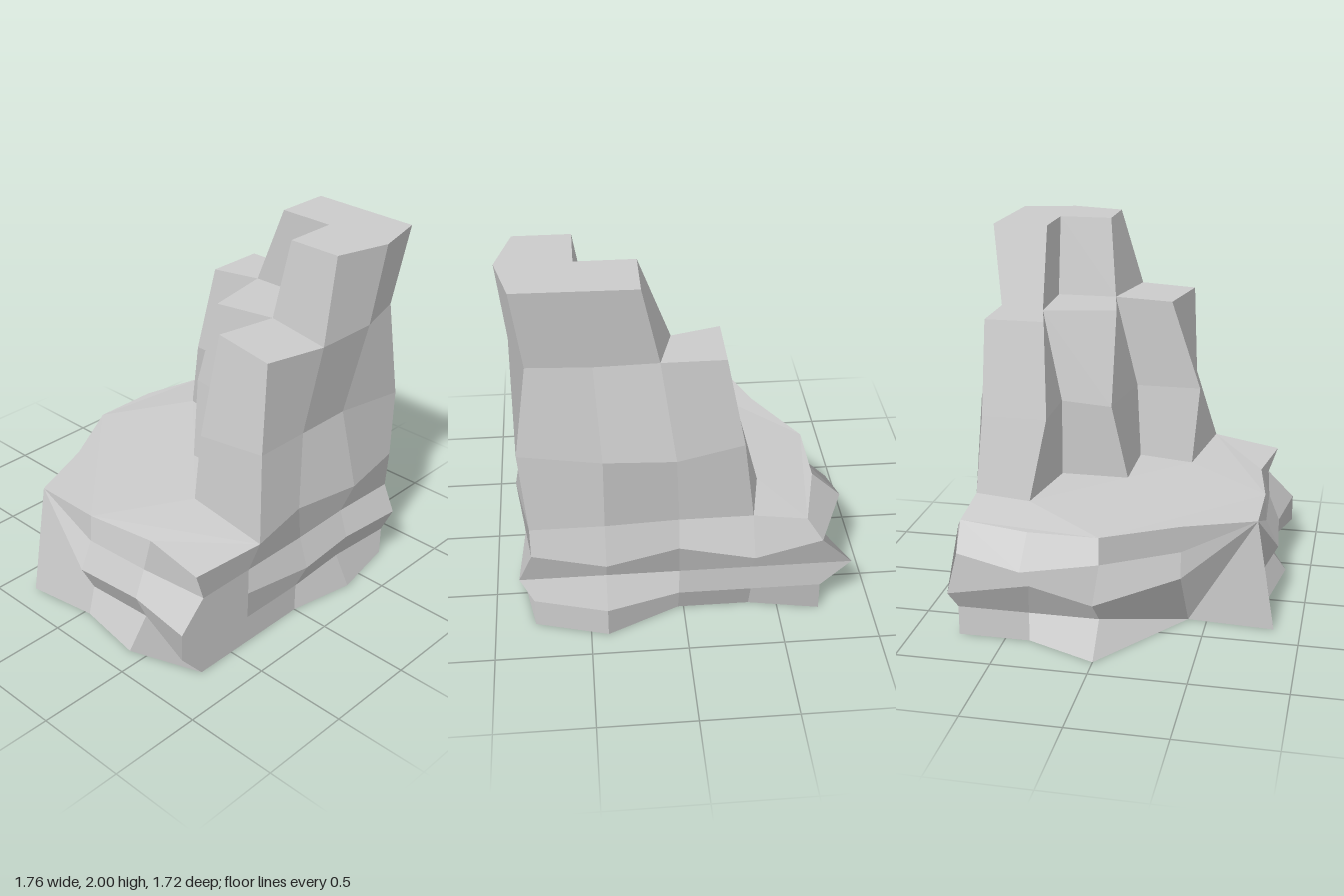
import * as THREE from 'three';

// A ring is a loop of [x, z] corners at height y: left side, front, right side, back.
const ring = (y, pts) => pts.map(([x, z]) => new THREE.Vector3(x, y, z));

// Four-cornered wall faces between successive rings of equal length.
function walls(rings) {
  const faces = [];
  for (let k = 0; k + 1 < rings.length; k++) {
    const lo = rings[k], hi = rings[k + 1], n = lo.length;
    for (let i = 0; i < n; i++) {
      const j = (i + 1) % n;
      faces.push([lo[i], lo[j], hi[j], hi[i]]);
    }
  }
  return faces;
}

// Fills a ring with triangles facing up or down.
function cap(pts, up = true) {
  const flat = pts.map((p) => new THREE.Vector2(p.x, -p.z));
  return THREE.ShapeUtils.triangulateShape(flat, []).map(([a, b, c]) => {
    const ab = flat[b].clone().sub(flat[a]), ac = flat[c].clone().sub(flat[a]);
    const facesUp = ab.cross(ac) > 0;
    return facesUp === up ? [pts[a], pts[b], pts[c]] : [pts[a], pts[c], pts[b]];
  });
}

// Turns faces of three or four corners into a geometry with one normal per face.
function facetGeometry(faces) {
  const points = [], normals = [];
  for (const [a, b, c, d = a] of faces) {
    const normal = c.clone().sub(a).cross(d.clone().sub(b)).normalize();
    const corners = d === a ? [a, b, c] : [a, b, d, b, c, d];
    for (const p of corners) {
      points.push(p);
      normals.push(normal.x, normal.y, normal.z);
    }
  }
  const geometry = new THREE.BufferGeometry().setFromPoints(points);
  return geometry.setAttribute('normal', new THREE.Float32BufferAttribute(normals, 3));
}

export function createModel() {
  const group = new THREE.Group();
  const material = new THREE.MeshStandardMaterial({ color: 0xcccccc });
  const add = (name, faces) => {
    const mesh = new THREE.Mesh(facetGeometry(faces), material);
    mesh.name = name;
    group.add(mesh);
  };

  // Stepped column outlines, from its foot to the ledge
  const foot = ring(0.65, [[-0.35, -0.75], [-0.41, -0.44], [0.03, -0.37], [0.03, 0], [0.41, 0], [0.34, 0.31],
    [0.86, 0.38], [0.79, 0], [0.86, -0.37], [0.79, -0.77], [0.41, -0.77], [0.03, -0.75]]);
  const waist = ring(1.07, [[-0.3, -0.72], [-0.3, -0.37], [0.04, -0.37], [-0.02, -0.08], [0.41, -0.02], [0.41, 0.34],
    [0.76, 0.27], [0.76, -0.04], [0.76, -0.36], [0.83, -0.72], [0.41, -0.81], [0.05, -0.83]]);
  const ledge = ring(1.57, [[-0.2, -0.72], [-0.2, -0.4], [0.05, -0.47], [0.12, -0.08], [0.44, -0.15], [0.38, 0.18],
    [0.76, 0.25], [0.84, -0.07], [0.84, -0.43], [0.76, -0.71], [0.44, -0.73], [0.12, -0.72]]);

  // Front fin and the hollow beside it, each a single point shared by several strata
  const finTop = new THREE.Vector3(-0.35, 0.61, 0.76);
  const hollow = new THREE.Vector3(-0.32, 0, 0.4);

  // Base strata, alternately pushed in and out
  const ground = ring(0, [[-0.72, -0.75], [-0.72, -0.37], [-0.88, 0], [-0.32, 0.4], [-0.35, 0.86],
    [0.03, 0.8], [0.41, 0.86], [0.79, 0.72], [0.79, 0.38], [0.79, 0], [0.86, -0.37], [0.79, -0.75],
    [0.41, -0.86], [0.03, -0.68], [-0.35, -0.68]]);
  const groove = ring(0.16, [[-0.72, -0.75], [-0.72, -0.37], [-0.72, 0], [-0.32, 0.4], [-0.35, 0.76],
    [0.03, 0.76], [0.41, 0.74], [0.79, 0.86], [0.79, 0.38], [0.79, 0], [0.77, -0.37], [0.79, -0.75],
    [0.41, -0.86], [0.03, -0.75], [-0.35, -0.75]]);
  const bulge = ring(0.31, [[-0.88, -0.75], [-0.72, -0.37], [-0.88, 0], [-0.48, 0.38], [-0.35, 0.76],
    [0.03, 0.84], [0.41, 0.81], [0.79, 0.86], [0.79, 0.38], [0.86, 0], [0.83, -0.37], [0.86, -0.75],
    [0.41, -0.75], [0.03, -0.75], [-0.35, -0.75]]);
  const shoulder = ring(0.46, [[-0.72, -0.75], [-0.88, -0.37], [-0.72, 0], [-0.48, 0.38], [-0.35, 0.76],
    [0.03, 0.77], [0.41, 0.75], [0.79, 0.71], [0.79, 0.38], [0.79, -0.02], [0.78, -0.37], [0.79, -0.75],
    [0.41, -0.86], [0.03, -0.75], [-0.35, -0.86]]);
  groove[3] = hollow;
  for (const stratum of [groove, bulge, shoulder]) stratum[4] = finTop;

  // The rim joins the column foot along the right and back
  const openRim = ring(0.61, [[-0.63, -0.75], [-0.72, -0.37], [-0.72, 0], [-0.5, 0.38], [-0.35, 0.76],
    [0.03, 0.76], [0.41, 0.7], [0.79, 0.76]]);
  const rim = [...openRim, ...foot.slice(6), foot[0]];

  add('rockBase', [...walls([ground, groove, bulge, shoulder, rim]), ...cap(ground, false)]);
  add('plateau', cap([...openRim, ...foot.slice(0, 7).reverse()]));
  add('steppedColumns', [...walls([foot, waist, ledge]), ...cap(ledge)]);

  // L-shaped peak rising from the back of the ledge
  const inner = new THREE.Vector3(0.44, 1.57, -0.48);
  const peakFoot = [ledge[11], ledge[2], inner, ledge[4], ledge[7], ledge[8], ledge[9], ledge[10]];
  const peakTop = ring(2, [[0.21, -0.78], [0.21, -0.48], [0.51, -0.48], [0.51, -0.19], [0.8, -0.19],
    [0.88, -0.48], [0.81, -0.77], [0.51, -0.775]]);
  add('peak', [...walls([peakFoot, peakTop]), ...cap(peakTop)]);

  return group;
}
